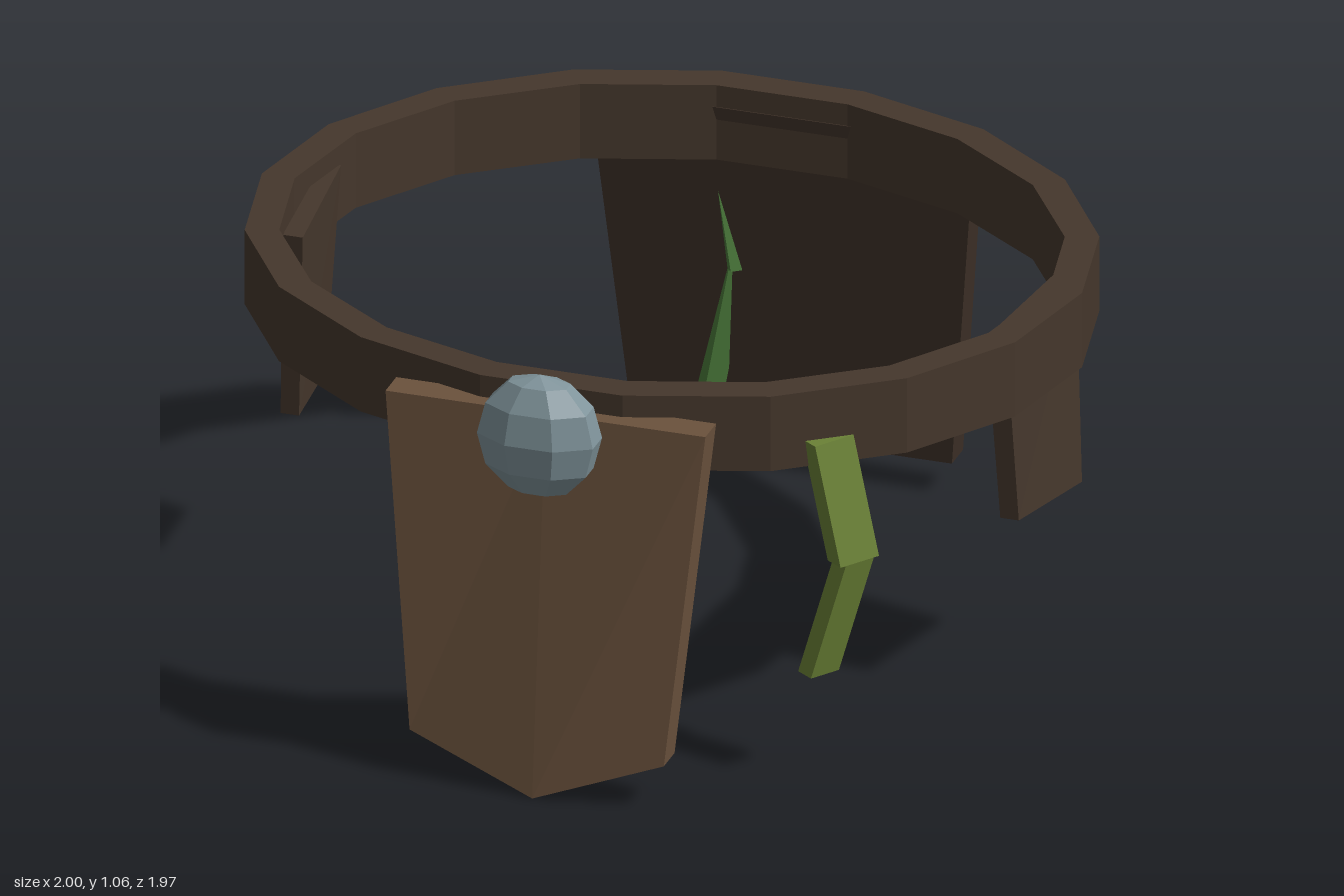
import * as THREE from 'three';

const paint = (color) => new THREE.MeshStandardMaterial({ color, flatShading: true });
const leather = paint(0x45372c);
const darkLeather = paint(0x3d3027);
const lightLeather = paint(0x6b523d);
const stone = paint(0x80949b);
const olive = paint(0x6b8236);
const green = paint(0x4a7a3a);

// Joins sections of [x, y, z] points, lowest first, each counterclockwise seen from above
function loft(sections) {
  const out = [];
  const tri = (a, b, c) => out.push(...a, ...b, ...c);
  const n = sections[0].length;
  for (let s = 0; s < sections.length - 1; s++) {
    const lo = sections[s], hi = sections[s + 1];
    for (let i = 0; i < n; i++) {
      const j = (i + 1) % n;
      tri(lo[i], lo[j], hi[j]);
      tri(lo[i], hi[j], hi[i]);
    }
  }
  const bottom = sections[0], top = sections[sections.length - 1];
  for (let i = 1; i < n - 1; i++) {
    tri(bottom[0], bottom[i + 1], bottom[i]);
    tri(top[0], top[i], top[i + 1]);
  }
  const g = new THREE.BufferGeometry();
  g.setAttribute('position', new THREE.Float32BufferAttribute(out, 3));
  g.computeVertexNormals();
  return g;
}

// Six-point slab section: half width, edge height, middle height, back and front z at edge and middle
const slabSection = (w, y, yMid, back, front, backMid = back, frontMid = front) => [
  [0, yMid, backMid], [-w, y, back], [-w, y, front],
  [0, yMid, frontMid], [w, y, front], [w, y, back],
];

// Rectangular section w by t, turned by angle about the vertical
function strapSection([x, y, z], w, t, angle) {
  const c = Math.cos(angle), s = Math.sin(angle);
  return [[1, 1], [1, -1], [-1, -1], [-1, 1]].map(([a, b]) => {
    const u = a * w / 2, v = b * t / 2;
    return [x + u * c + v * s, y, z - u * s + v * c];
  });
}

export function createModel() {
  const group = new THREE.Group();
  const add = (name, geometry, material, parent = group) => {
    const mesh = new THREE.Mesh(geometry, material);
    mesh.name = name;
    parent.add(mesh);
    return mesh;
  };

  // Belt: faceted oval band
  const oval = (rx, rz) => Array.from({ length: 18 }, (_, i) => {
    const a = i * Math.PI / 9;
    return new THREE.Vector2(rx * Math.cos(a), rz * Math.sin(a));
  });
  const band = new THREE.Shape(oval(1, 0.88));
  band.holes.push(new THREE.Path(oval(0.92, 0.8)));
  const beltGeometry = new THREE.ExtrudeGeometry(band, { depth: 0.19, bevelEnabled: false });
  beltGeometry.rotateX(-Math.PI / 2).translate(0, 0.81, -0.045);
  add('belt', beltGeometry, leather);

  // Front and back flaps lean outward toward the hem
  add('frontFlap', loft([
    slabSection(0.31, 0.12, 0.005, 0.848, 0.925, 0.885, 0.957),
    slabSection(0.39, 0.945, 0.945, 0.785, 0.862),
  ]), lightLeather);
  add('backFlap', loft([
    slabSection(0.39, 0.085, 0.085, -0.985, -0.905),
    slabSection(0.47, 0.945, 0.945, -0.905, -0.83),
  ]), darkLeather);

  // Side flaps, mirrored
  const sideSections = [
    [[0.9, 0.475, 0.115], [0.947, 0.44, -0.2], [0.897, 0.44, -0.2], [0.855, 0.475, 0.115]],
    [[0.882, 0.95, 0.153], [0.918, 0.95, -0.245], [0.875, 0.95, -0.245], [0.833, 0.95, 0.153]],
  ];
  const mirrored = sideSections.map((s) => s.map(([x, y, z]) => [-x, y, z]).reverse());
  add('leftSideFlap', loft(sideSections), leather);
  add('rightSideFlap', loft(mirrored), leather);

  // Buckle: flattened faceted stone
  const buckle = new THREE.SphereGeometry(1, 8, 6);
  buckle.rotateY(Math.PI / 8).scale(0.153, 0.155, 0.087).translate(0, 0.91, 0.905);
  add('buckleStone', buckle, stone);

  // Bent hanging strips, each of two pieces
  const strip = (name, top, knee, hem, angle, material) => {
    const g = new THREE.Group();
    g.name = name;
    group.add(g);
    add('upperPiece', loft([
      strapSection(knee, 0.11, 0.05, angle), strapSection(top, 0.11, 0.05, angle),
    ]), material, g);
    add('lowerPiece', loft([
      strapSection(hem, 0.08, 0.05, angle), strapSection(knee, 0.08, 0.05, angle),
    ]), material, g);
  };
  strip('frontStrip', [0.61, 0.875, 0.63], [0.672, 0.575, 0.63], [0.587, 0.275, 0.63], 0.96, olive);
  strip('backStrip', [-0.2, 0.88, -0.908], [-0.145, 0.52, -0.908], [-0.21, 0.16, -0.905], -0.9, green);

  return group;
}
